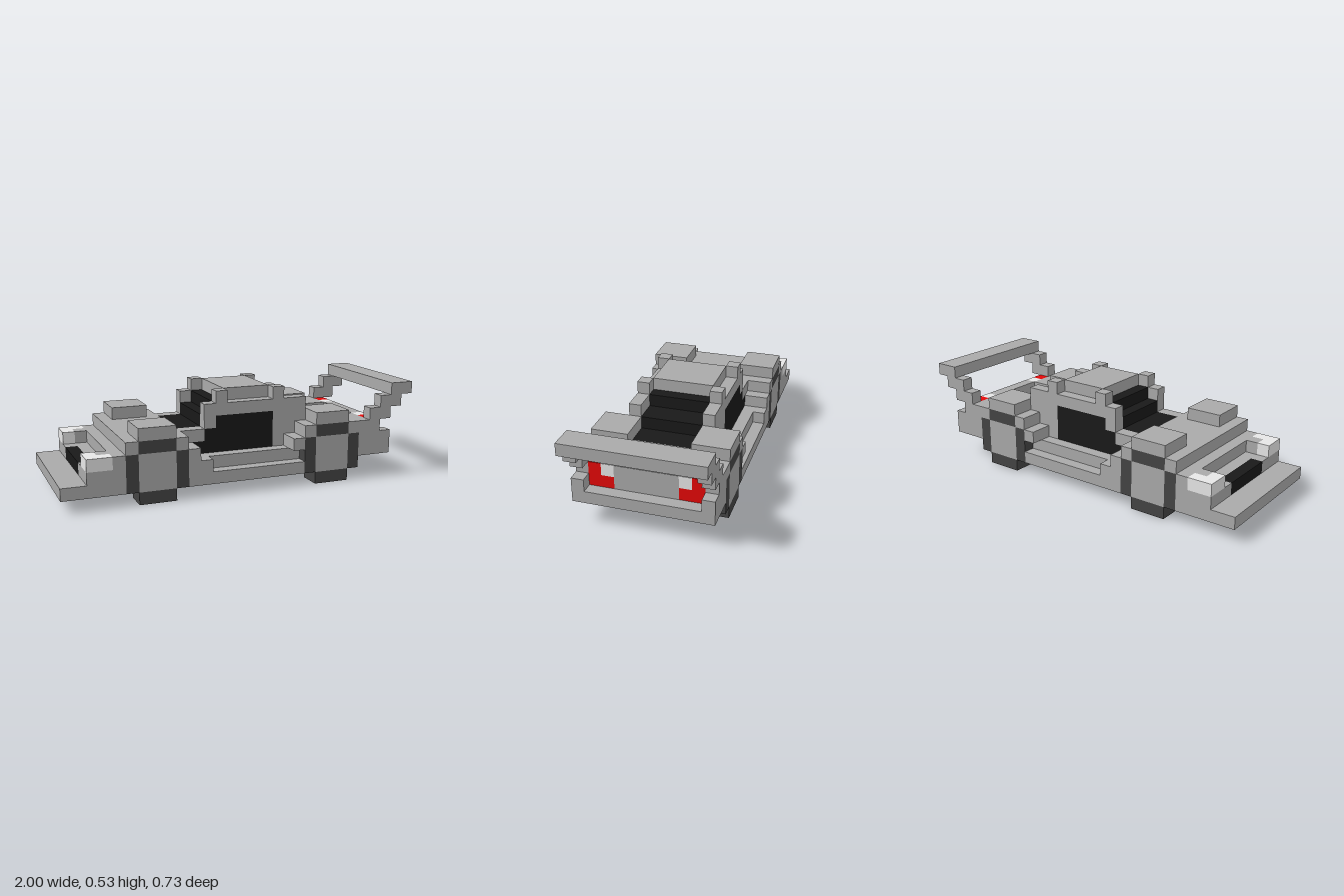
import * as THREE from 'three';

const U = 1 / 15; // one block
const material = (name, color) => {
  const m = new THREE.MeshStandardMaterial({ color });
  m.name = name;
  return m;
};

export function createModel() {
  const car = new THREE.Group();
  car.name = 'blockCar';
  const body = material('bodyGrey', 0xa9a9a9);
  const tyre = material('tyreGrey', 0x444444);
  const glass = material('glassBlack', 0x191919);
  const red = material('tailRed', 0xe40808);
  const lamp = material('lampGrey', 0xe6e6e6);

  // Box from block ranges
  const box = (name, mat, x0, x1, y0, y1, z0, z1) => {
    const mesh = new THREE.Mesh(new THREE.BoxGeometry((x1 - x0) * U, (y1 - y0) * U, (z1 - z0) * U), mat);
    mesh.position.set((x0 + x1) / 2 * U, (y0 + y1) / 2 * U, (z0 + z1) / 2 * U);
    mesh.name = name;
    car.add(mesh);
  };
  const mid = (name, mat, x0, x1, y0, y1, h) => box(name, mat, x0, x1, y0, y1, -h, h);
  const pair = (name, mat, x0, x1, y0, y1, z0, z1) => {
    box(name, mat, x0, x1, y0, y1, z0, z1);
    box(name, mat, x0, x1, y0, y1, -z1, -z0);
  };

  // Nose and grille
  mid('noseBar', body, -15, -13, 1, 2, 5.5);
  pair('noseSide', body, -13, -10, 1, 3, 3.5, 5.5);
  mid('grille', glass, -13, -12, 2, 3, 2.5);
  pair('grilleEdge', body, -13, -12, 2, 3, 2.5, 3.5);
  mid('noseStep', body, -12, -11, 2, 3, 3.5);
  mid('hoodStep', body, -11, -10, 3, 4, 5.5);
  pair('headlampOuter', lamp, -13, -11, 3, 4, 4.5, 5.5);
  pair('headlampInner', lamp, -13, -12, 3, 4, 3.5, 4.5);
  pair('headlampBack', body, -12, -11, 3, 4, 3.5, 4.5);
  mid('hood', body, -10, -5, 4, 5, 3.5);

  // Wheels, arches and fenders
  for (const x of [-10, 5]) {
    pair('wheelHub', body, x + 1, x + 4, 1, 4, 3.5, 5.5);
    pair('tyreBottom', tyre, x + 1, x + 4, 0, 1, 3.5, 5.5);
    pair('tyreTop', tyre, x + 1, x + 4, 4, 5, 3.5, 5.5);
    pair('wheelWell', body, x, x + 5, 1, 4, 2.5, 3.5);
    pair('fenderTop', body, x + 1, x + 4, 5, 6, 2.5, 5.5);
    for (const s of [x, x + 4]) {
      pair('tyreSide', tyre, s, s + 1, 1, 4, 3.5, 5.5);
      pair('fenderEnd', body, s, s + 1, 4, 5, 3.5, 5.5);
    }
  }

  // Sills and doors
  pair('sill', body, -5, 5, 1, 2, 3.5, 5.5);
  pair('door', body, -5, 5, 2, 3, 3.5, 4.5);
  pair('doorFront', body, -5, -3, 2, 3, 4.5, 5.5);
  pair('frontShoulder', body, -5, -4, 3, 4, 3.5, 5.5);
  pair('rearShoulder', body, 4, 5, 3, 4, 3.5, 5.5);

  // Cabin sides: stepped windows and pillars
  for (const [x0, y] of [[-4, 3], [-3, 4], [-2, 5]]) {
    pair('sideWindow', glass, x0, 3, y, y + 1, 2.5, 3.5);
  }
  const pillars = [
    [-5, -4, 3, 5], [-4, -3, 4, 5], [-3, -2, 5, 7], [-2, 3, 6, 7], [-2, -1, 7, 8],
    [3, 4, 3, 8], [4, 5, 3, 7], [5, 6, 4, 7], [6, 9, 4, 5],
  ];
  for (const p of pillars) pair('pillar', body, ...p, 2.5, 3.5);

  // Windscreen, roof and rear window
  for (const p of [[-5, -3, 4, 5], [-3, -2, 5, 6], [-2, -1, 6, 7]]) mid('windscreen', glass, ...p, 2.5);
  mid('roof', body, -1, 3, 7, 8, 2.5);
  for (const p of [[3, 4, 6, 7], [4, 6, 5, 6], [6, 8, 4, 5]]) mid('rearWindow', glass, ...p, 2.5);

  // Tail: deck, panel between the lamps, bumper
  mid('rearDeck', body, 8, 9, 4, 5, 2.5);
  mid('rearShelf', body, 9, 11, 3, 4, 2.5);
  mid('tailPanel', body, 11, 12, 3, 5, 2.5);
  pair('tailPanelSide', body, 10, 11, 3, 5, 2.5, 4.5);
  pair('deckSide', body, 9, 10, 4, 5, 2.5, 3.5);
  mid('rearBumper', body, 10, 13, 2, 3, 5.5);
  pair('bumperSide', body, 10, 13, 3, 4, 4.5, 5.5);
  pair('tailLamp', red, 11, 12, 3, 5, 3.5, 4.5);
  pair('tailLampInner', red, 11, 12, 3, 4, 2.5, 3.5);
  pair('reverseLamp', lamp, 11, 12, 4, 5, 2.5, 3.5);

  // Spoiler on stepped supports
  for (const [x0, y] of [[10, 4], [11, 5], [12, 6]]) {
    pair('spoilerSupport', body, x0, x0 + 2, y, y + 1, 4.5, 5.5);
  }
  mid('spoiler', body, 13, 15, 7, 8, 5.5);

  return car;
}
